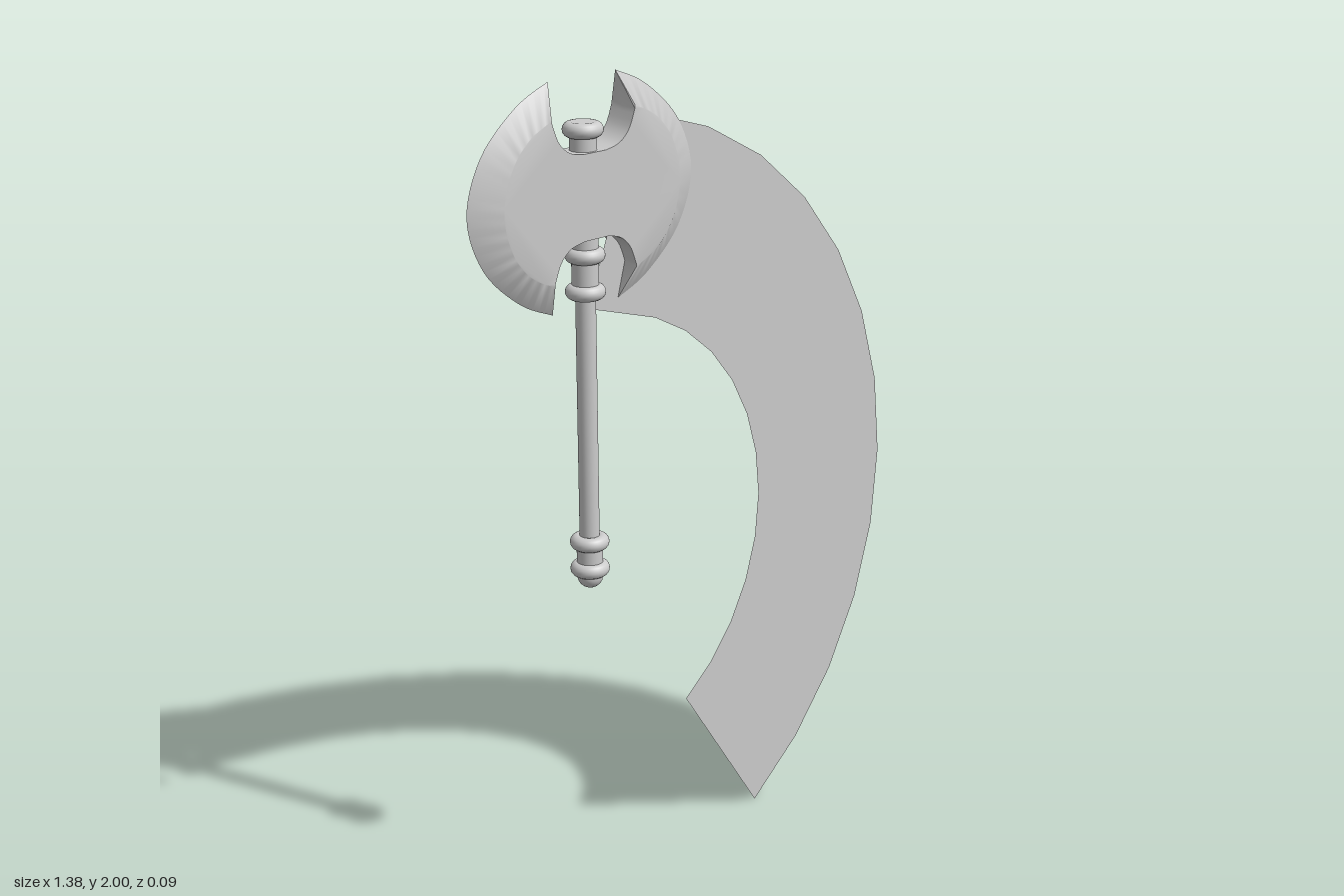
import * as THREE from 'three';
import { toCreasedNormals } from 'three/addons/utils/BufferGeometryUtils.js';

const grey = new THREE.MeshStandardMaterial({ color: 0xcccccc });
const greyThin = new THREE.MeshStandardMaterial({ color: 0xcccccc, side: THREE.DoubleSide });
const AXIS = -0.352; // x of the handle

function add(parent, name, geometry, x = 0, y = 0, material = grey) {
  const mesh = new THREE.Mesh(geometry, material);
  mesh.name = name;
  mesh.position.set(x, y, 0);
  parent.add(mesh);
  return mesh;
}

// Double blade: flat cheeks, bevelled to a sharp edge in the middle plane
function bladeGeometry(halfThickness) {
  const v = (x, y) => new THREE.Vector2(x, y);
  const notch = new THREE.SplineCurve([
    v(0.035, 0.098), v(0.075, 0.108), v(0.105, 0.135), v(0.123, 0.178)]).getPoints(10);
  const cheek = new THREE.SplineCurve([
    v(0.124, 0.185), v(0.19, 0.152), v(0.242, 0.09), v(0.265, 0),
    v(0.242, -0.09), v(0.19, -0.152), v(0.124, -0.185)]);
  const edge = new THREE.SplineCurve([
    v(0.1, 0.262), v(0.195, 0.218), v(0.295, 0.125), v(0.338, 0),
    v(0.295, -0.125), v(0.195, -0.218), v(0.1, -0.262)]);

  // Right half, top to bottom: f = cheek outline, m = middle plane outline
  const half = notch.map((p) => ({ f: p, m: p }));
  for (let i = 0; i <= 36; i++) half.push({ f: cheek.getPoint(i / 36), m: edge.getPoint(i / 36) });
  [...notch].reverse().forEach((p) => half.push({ f: v(p.x, -p.y), m: v(p.x, -p.y) }));
  const turn = (p) => v(-p.x, -p.y);
  const ring = [...half, ...half.map(({ f, m }) => ({ f: turn(f), m: turn(m) }))].reverse();

  const n = ring.length, positions = [], index = [];
  const layer = (key, z) => ring.forEach((r) => positions.push(r[key].x, r[key].y, z));
  layer('f', halfThickness);
  layer('m', 0);
  layer('f', -halfThickness);
  for (let k = 0; k < 2; k++) {
    for (let i = 0; i < n; i++) {
      const j = (i + 1) % n;
      const a = k * n + i, b = k * n + j, c = a + n, d = b + n;
      index.push(a, c, b, b, c, d);
    }
  }
  for (const [a, b, c] of THREE.ShapeUtils.triangulateShape(ring.map((r) => r.f), [])) {
    index.push(a, b, c, a + 2 * n, c + 2 * n, b + 2 * n);
  }
  const g = new THREE.BufferGeometry();
  g.setAttribute('position', new THREE.Float32BufferAttribute(positions, 3));
  g.setIndex(index);
  return toCreasedNormals(g, 0.65);
}

// Flat curved trail swept around the lower handle
function trailGeometry() {
  const cy = 0.865, step = Math.PI / 16;
  const arc = (r) => Array.from({ length: 12 }, (_, i) => new THREE.Vector2(
    AXIS - 0.004 + r * Math.cos((i - 5) * step), cy + r * Math.sin((i - 5) * step)));
  const outer = arc(1.041), inner = arc(0.581);
  outer.push(new THREE.Vector2(-0.18, 1.895));
  inner.push(new THREE.Vector2(-0.345, 1.467));
  return new THREE.ShapeGeometry(new THREE.Shape([...outer, ...inner.reverse()]));
}

export function createModel() {
  const model = new THREE.Group();
  const axe = new THREE.Group();
  axe.name = 'axe';
  axe.position.x = AXIS;
  model.add(axe);

  // Handle
  add(axe, 'shaft', new THREE.CylinderGeometry(0.0235, 0.0235, 1.06, 32), 0, 1.36);
  const collars = [[1.51, 1.897, 0.031], [0.825, 0.9, 0.031]];
  for (const [y0, y1, r] of collars) {
    add(axe, 'collar', new THREE.CylinderGeometry(r, r, y1 - y0, 32), 0, (y0 + y1) / 2);
  }
  for (const y of [1.88, 1.595, 1.51, 0.902, 0.835]) {
    const ring = new THREE.TorusGeometry(0.029, 0.0175, 16, 40).rotateX(Math.PI / 2);
    add(axe, 'ring', ring, 0, y);
  }
  // Rounded pommel under the last ring
  const pommel = new THREE.SphereGeometry(0.031, 32, 16);
  add(axe, 'pommel', pommel, 0, 0.817);

  // Axe head and trail
  add(axe, 'doubleBlade', bladeGeometry(0.038), 0, 1.736);
  add(model, 'swingTrail', trailGeometry(), 0, 0, greyThin);
  return model;
}
